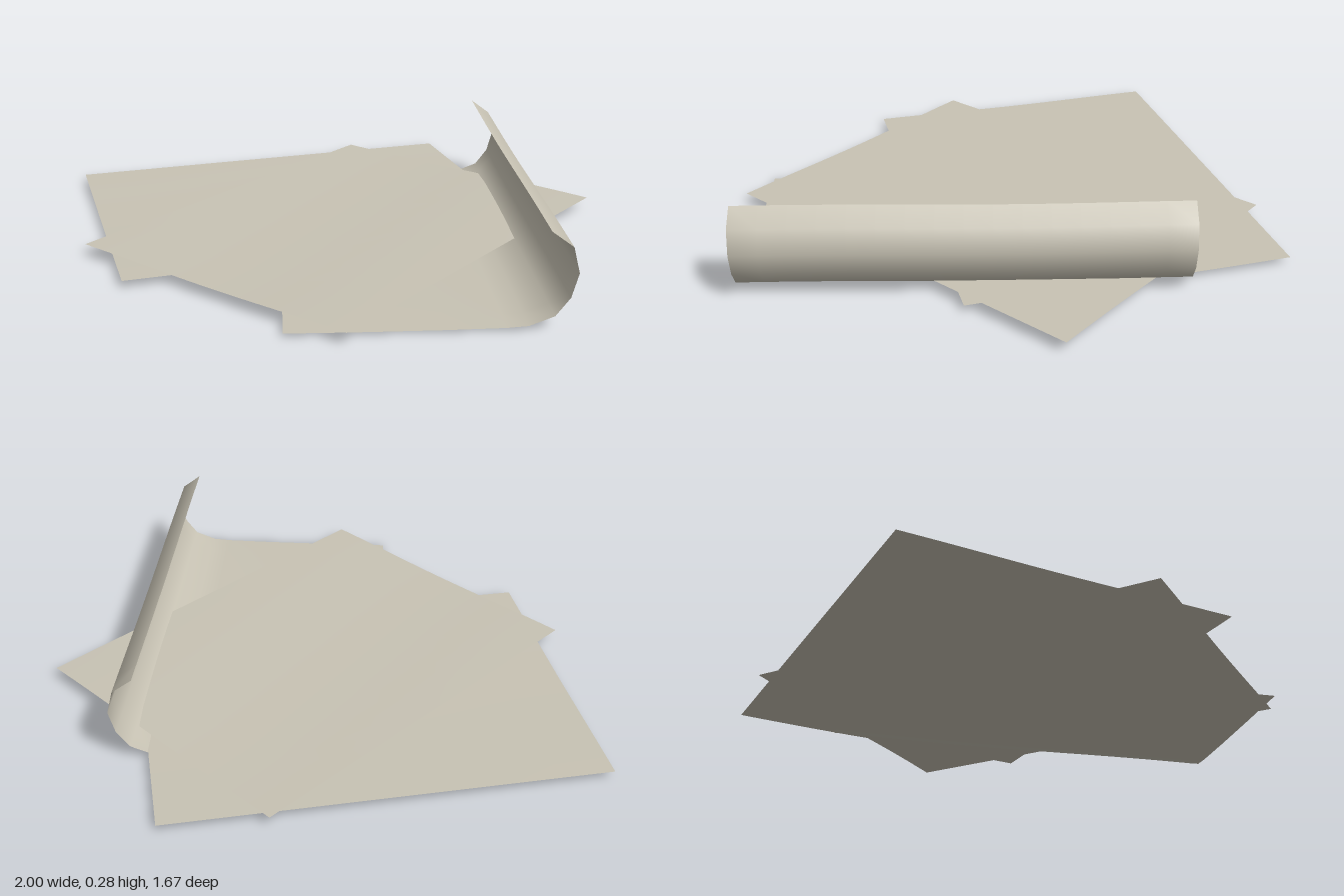
import * as THREE from 'three';

const paper = new THREE.MeshStandardMaterial({ color: 0xc8c3b4, side: THREE.DoubleSide });
paper.name = 'paper';

// A sheet swept along u (an x, z vector) from a corner.
// Each profile point is [distance along v, height]; v is a unit x, z vector.
function sheet(name, corner, u, v, profile, ripple) {
  const across = 16;
  const rows = profile.length - 1;
  const geometry = new THREE.PlaneGeometry(1, 1, across, rows);
  const pos = geometry.attributes.position;
  for (let i = 0; i < pos.count; i++) {
    const s = (i % (across + 1)) / across;
    const [d, h] = profile[rows - Math.floor(i / (across + 1))];
    const wave = ripple * Math.cos(s * Math.PI * 2 + d);
    pos.setXYZ(i, corner[0] + u[0] * s + v[0] * d, h + wave, corner[1] + u[1] * s + v[1] * d);
  }
  geometry.computeVertexNormals();
  const mesh = new THREE.Mesh(geometry, paper);
  mesh.name = name;
  return mesh;
}

// Evenly spaced profile of a sheet lying flat
const flat = (length, height) =>
  Array.from({ length: 9 }, (_, i) => [(length * i) / 8, height]);

export function createModel() {
  const group = new THREE.Group();
  group.name = 'paperSheets';

  // Bottom sheet, its far long edge rolled up and over
  const curl = [
    [0, 0.006], [0.22, 0.004], [0.44, 0.004], [0.6, 0.006], [0.66, 0.01],
    [0.73, 0.037], [0.77, 0.09], [0.789, 0.16], [0.77, 0.235], [0.709, 0.28],
  ];
  group.add(sheet('curledSheet', [-0.53, -0.18], [1, 0.895], [0.667, -0.745], curl, 0.003));

  // Middle sheet
  group.add(sheet('middleSheet', [-1, 0.35], [0.905, 0.48], [0.468, -0.884], flat(1.346, 0.022), 0.002));

  // Top sheet
  group.add(sheet('topSheet', [-0.385, 0.76], [1.015, -0.125], [-0.122, -0.9925], flat(1.348, 0.035), 0.003));

  return group;
}
